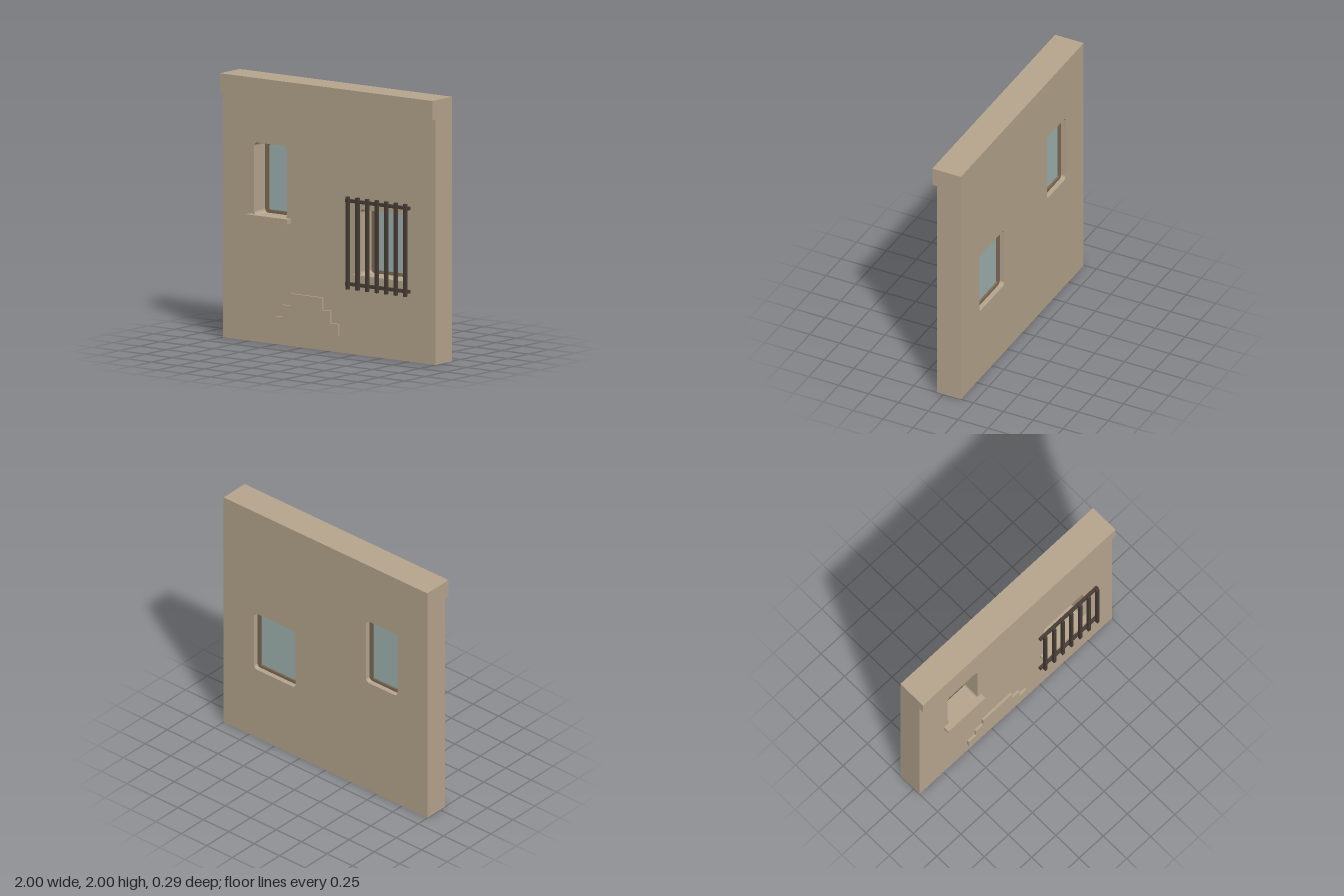
import * as THREE from 'three';

const wallMat = new THREE.MeshStandardMaterial({ name: 'sandPlaster', color: 0xb8a78f });
const frameMat = new THREE.MeshStandardMaterial({ name: 'brownFrame', color: 0x7f6e5a });
const glassMat = new THREE.MeshStandardMaterial({ name: 'paleGlass', color: 0xa2b6b3 });
const barMat = new THREE.MeshStandardMaterial({ name: 'darkIron', color: 0x483e36 });

const BACK = -0.145, FRONT = 0.057;

// Openings in the wall: x0, x1, y0, y1
const openings = [
  { name: 'upperWindow', rect: [-0.707, -0.399, 0.957, 1.505] },
  { name: 'lowerWindow', rect: [0.293, 0.701, 0.605, 1.103] },
];

// Rectangle with rounded corners, as a Shape or a Path
function roundedRect(Type, [x0, x1, y0, y1], r) {
  const p = new Type();
  p.moveTo(x0 + r, y0);
  p.lineTo(x1 - r, y0);
  p.absarc(x1 - r, y0 + r, r, -Math.PI / 2, 0);
  p.lineTo(x1, y1 - r);
  p.absarc(x1 - r, y1 - r, r, 0, Math.PI / 2);
  p.lineTo(x0 + r, y1);
  p.absarc(x0 + r, y1 - r, r, Math.PI / 2, Math.PI);
  p.lineTo(x0, y0 + r);
  p.absarc(x0 + r, y0 + r, r, Math.PI, Math.PI * 1.5);
  return p;
}

function inset([x0, x1, y0, y1], dx, dy) {
  return [x0 + dx, x1 - dx, y0 + dy, y1 - dy];
}

function extrude(name, shape, z0, z1, material) {
  const geo = new THREE.ExtrudeGeometry(shape, { depth: z1 - z0, bevelEnabled: false, curveSegments: 6 });
  geo.translate(0, 0, z0);
  const mesh = new THREE.Mesh(geo, material);
  mesh.name = name;
  return mesh;
}

function box(name, [x0, x1, y0, y1], z0, z1, material) {
  const mesh = new THREE.Mesh(new THREE.BoxGeometry(x1 - x0, y1 - y0, z1 - z0), material);
  mesh.position.set((x0 + x1) / 2, (y0 + y1) / 2, (z0 + z1) / 2);
  mesh.name = name;
  return mesh;
}

// Recessed frame, glass pane and projecting sill
function makeWindow({ name, rect }) {
  const group = new THREE.Group();
  group.name = name;
  const pane = inset(rect, 0.034, 0.025);
  const frame = roundedRect(THREE.Shape, rect, 0.03);
  frame.holes.push(roundedRect(THREE.Path, pane, 0.015));
  group.add(extrude('windowFrame', frame, -0.107, -0.077, frameMat));
  group.add(extrude('glassPane', roundedRect(THREE.Shape, pane, 0.015), -0.092, -0.086, glassMat));
  const [x0, x1, y0] = rect;
  group.add(box('windowSill', [x0 - 0.038, x1 + 0.038, y0 - 0.031, y0 + 0.006], FRONT, 0.105, wallMat));
  return group;
}

// Iron grille: two rails behind seven upright bars
function makeGrille() {
  const group = new THREE.Group();
  group.name = 'windowGrille';
  for (const y of [0.539, 1.168]) {
    group.add(box('grilleRail', [0.198, 0.798, y - 0.012, y + 0.012], 0.097, 0.122, barMat));
  }
  for (let i = 0; i < 7; i++) {
    const x = 0.235 + i * 0.09;
    group.add(box('grilleBar', [x - 0.012, x + 0.012, 0.503, 1.203], 0.121, 0.145, barMat));
  }
  return group;
}

export function createModel() {
  const model = new THREE.Group();
  model.name = 'wallSection';

  // Wall slab pierced by the window openings
  const slab = new THREE.Shape([[-1, 0], [1, 0], [1, 1.855], [-1, 1.855]].map(([x, y]) => new THREE.Vector2(x, y)));
  for (const { rect } of openings) slab.holes.push(roundedRect(THREE.Path, rect, 0.03));
  model.add(extrude('wall', slab, BACK, FRONT, wallMat));

  // Overhanging top band
  model.add(box('cornice', [-1, 1, 1.855, 2], BACK, 0.095, wallMat));

  for (const opening of openings) model.add(makeWindow(opening));
  model.add(makeGrille());

  // Raised stepped relief, mirrored about its centre line
  const half = [[0.3, 0.13], [0.3, 0.215], [0.225, 0.215], [0.225, 0.307], [0.15, 0.307], [0.15, 0.4]];
  const outline = [...half, ...half.map(([x, y]) => [-x, y]).reverse()];
  const steps = new THREE.Shape(outline.map(([x, y]) => new THREE.Vector2(x - 0.203, y)));
  model.add(extrude('steppedRelief', steps, FRONT, 0.075, wallMat));

  return model;
}
